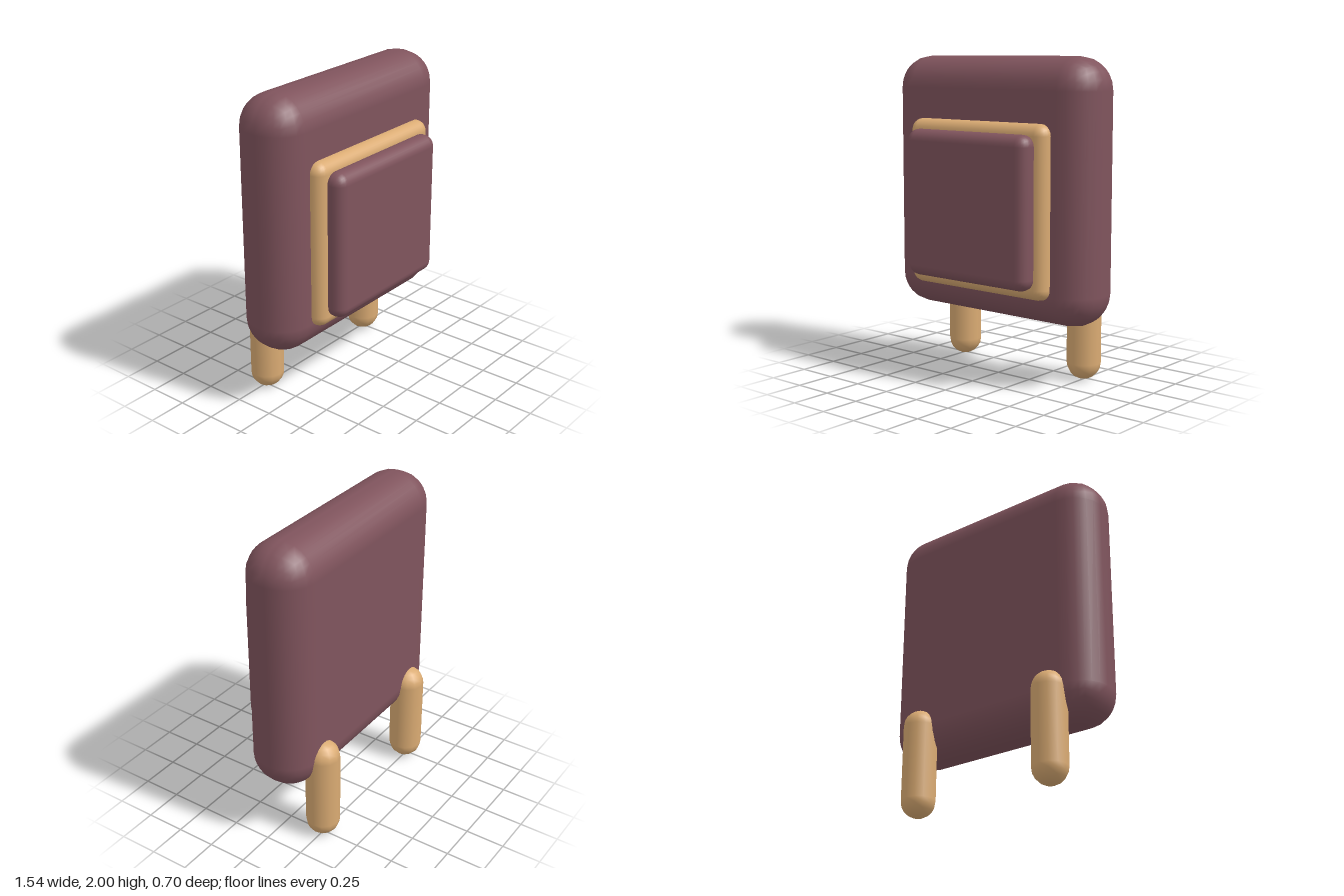
import * as THREE from 'three';
import { RoundedBoxGeometry } from 'three/addons/geometries/RoundedBoxGeometry.js';

export function createModel() {
  const model = new THREE.Group();
  const plum = new THREE.MeshStandardMaterial({ color: 0x80545d });
  plum.name = 'plum';
  const tan = new THREE.MeshStandardMaterial({ color: 0xdaab73 });
  tan.name = 'tan wood';

  const add = (name, geometry, material, x, y, z) => {
    const mesh = new THREE.Mesh(geometry, material);
    mesh.name = name;
    mesh.position.set(x, y, z);
    model.add(mesh);
  };

  // Rounded slab given by its width, vertical range and depth range
  const slab = (name, material, width, y0, y1, z0, z1, radius) =>
    add(name, new RoundedBoxGeometry(width, y1 - y0, z1 - z0, 3, radius),
      material, 0, (y0 + y1) / 2, (z0 + z1) / 2);

  // Thick body with a frame and a cushion panel stacked on its front
  slab('body', plum, 1.54, 0.39, 2.0, -0.255, 0.172, 0.2);
  slab('frame', tan, 1.074, 0.565, 1.61, 0.1, 0.247, 0.07);
  slab('frontPanel', plum, 0.952, 0.63, 1.55, 0.2, 0.348, 0.07);

  // Pill-shaped legs set into the lower back edge
  const r = 0.107, height = 0.685;
  for (const side of [-1, 1]) {
    add(side < 0 ? 'rightLeg' : 'leftLeg',
      new THREE.CapsuleGeometry(r, height - 2 * r, 5, 12),
      tan, side * 0.492, height / 2 + 0.003, -0.241);
  }
  return model;
}
